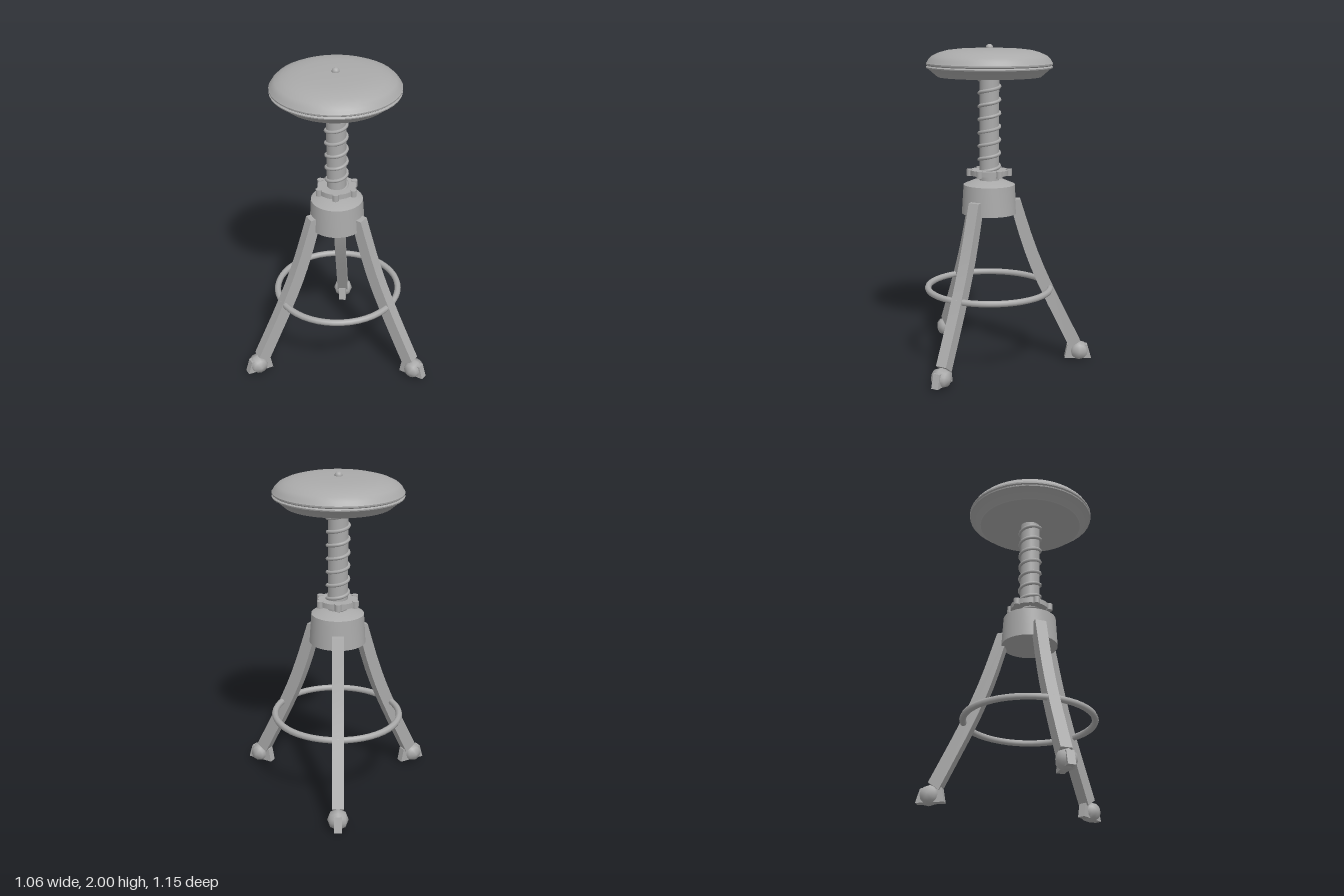
import * as THREE from 'three';
import { toCreasedNormals } from 'three/addons/utils/BufferGeometryUtils.js';

const AXIS_X = -0.127; // the stool's axis, offset so the three feet are centred
const LEG_COUNT = 3;

export function createModel() {
  const grey = new THREE.MeshStandardMaterial({ color: 0xaaaaaa });
  grey.name = 'grey';
  const stool = new THREE.Group();
  stool.name = 'stool';
  const body = new THREE.Group();
  body.name = 'stoolBody';
  body.position.x = AXIS_X;
  stool.add(body);

  const add = (name, geometry, parent = body) => {
    const mesh = new THREE.Mesh(geometry, grey);
    mesh.name = name;
    parent.add(mesh);
    return mesh;
  };
  const v2 = ([x, y]) => new THREE.Vector2(x, y);
  const lathe = (points, segments, crease = 0.5) =>
    toCreasedNormals(new THREE.LatheGeometry(points.map(v2), segments), crease);

  // Seat: flat underside, beaded rim and domed cushion
  add('seat', lathe([
    [0, 1.804], [0.315, 1.804], [0.372, 1.853], [0.383, 1.857], [0.385, 1.864],
    [0.376, 1.871], [0.384, 1.877], [0.385, 1.886], [0.379, 1.893], [0.371, 1.908],
    [0.35, 1.929], [0.31, 1.948], [0.26, 1.962], [0.19, 1.97], [0.1, 1.974], [0, 1.975],
  ], 40));
  add('seatButton', new THREE.SphereGeometry(0.023, 16, 10)).position.y = 1.977;

  // Screw column and its helical thread
  const column = add('screwColumn', new THREE.CylinderGeometry(0.06, 0.06, 0.66, 24));
  column.position.y = 1.48;
  const pitch = 0.0815;
  const helix = new THREE.Curve();
  helix.getPoint = (t, target = new THREE.Vector3()) => {
    const y = 1.175 + 0.63 * t;
    const a = -Math.PI / 2 + (2 * Math.PI * (y - 1.78)) / pitch;
    return target.set(0.063 * Math.cos(a), y, -0.063 * Math.sin(a));
  };
  add('screwThread', new THREE.TubeGeometry(helix, 190, 0.011, 6));

  // Locking wheel with six grip knobs
  add('lockingWheel', new THREE.CylinderGeometry(0.118, 0.118, 0.032, 24)).position.y = 1.218;
  for (let i = 0; i < 6; i++) {
    const a = (i * Math.PI) / 3;
    const knob = add('wheelKnob', new THREE.CylinderGeometry(0.02, 0.02, 0.042, 10));
    knob.position.set(0.12 * Math.cos(a), 1.217, 0.12 * Math.sin(a));
  }

  // Hub that holds the legs
  add('hub', lathe([
    [0, 0.963], [0.17, 0.963], [0.159, 1.143], [0.095, 1.17], [0, 1.17],
  ], 32));

  // Foot ring around the legs
  const ring = add('footRing', new THREE.TorusGeometry(0.385, 0.02, 8, 48));
  ring.rotation.x = Math.PI / 2;
  ring.position.y = 0.484;

  // Leg side outline, in the radial plane: outer curve down, inner curve up
  const outer = [[0.193, 1.05], [0.292, 0.75], [0.405, 0.484], [0.58, 0.135]];
  const inner = [[0.515, 0.09], [0.32, 0.484], [0.212, 0.75], [0.12, 1.055]];
  const smooth = (points) => new THREE.SplineCurve(points.map(v2)).getPoints(8);
  const plate = (points, width, crease) => {
    const geometry = new THREE.ExtrudeGeometry(new THREE.Shape(points), { depth: width, bevelEnabled: false });
    geometry.translate(0, 0, -width / 2);
    return toCreasedNormals(geometry, crease);
  };
  const legGeometry = plate([...smooth(outer), ...smooth(inner)], 0.069, 0.4);

  // Flared shoe plate and coarse ball foot
  const shoeGeometry = plate(
    [[0.484, 0.02], [0.653, 0.02], [0.628, 0.105], [0.5, 0.105]].map(v2), 0.046, 0.1);
  const ballGeometry = new THREE.SphereGeometry(0.063, 12, 4).rotateX(Math.PI / 2);

  for (let i = 0; i < LEG_COUNT; i++) {
    const leg = new THREE.Group();
    leg.name = 'legAssembly';
    leg.rotation.y = (i * 2 * Math.PI) / LEG_COUNT;
    add('leg', legGeometry, leg);
    add('shoe', shoeGeometry, leg);
    add('ballFoot', ballGeometry, leg).position.set(0.576, 0.066, 0);
    body.add(leg);
  }
  return stool;
}
